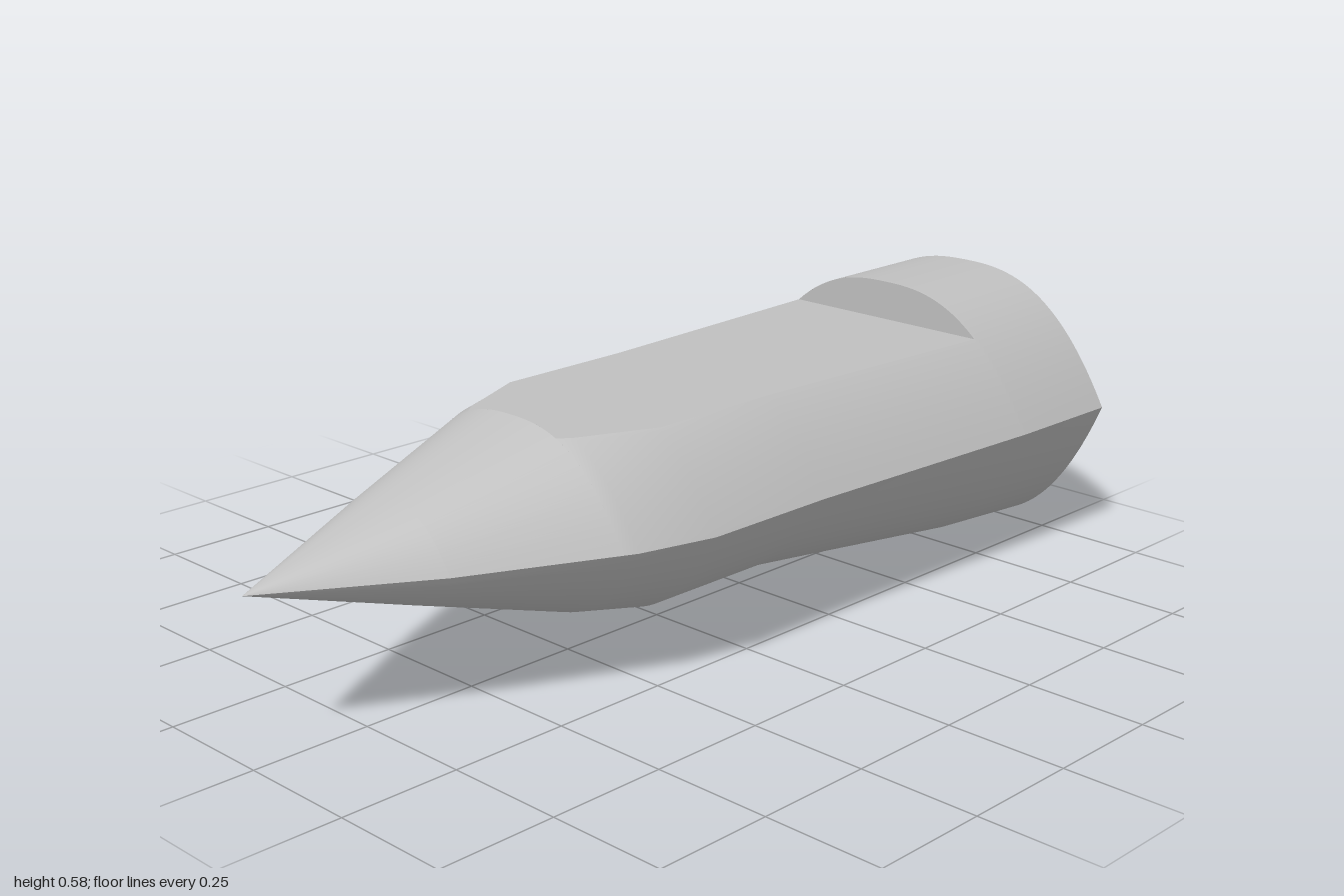
import * as THREE from 'three';

// Hull stations along x: [x, half width, top y, bottom y, chine y]
const STATIONS = [
  [-1, 0, 0.327, 0.327, 0.327],
  [-0.68, 0.166, 0.425, 0.231, 0.316],
  [-0.36, 0.311, 0.522, 0.135, 0.314],
  [-0.2, 0.352, 0.56, 0.102, 0.314],
  [0.1, 0.355, 0.56, 0.102, 0.314],
  [0.72, 0.386, 0.579, 0.022, 0.312],
  [1, 0.388, 0.58, 0, 0.311],
];
const DECK_Y = 0.495, DECK_START = -0.385, DECK_END = 0.71;

function station(x) {
  let i = 0;
  while (i < STATIONS.length - 2 && x > STATIONS[i + 1][0]) i++;
  const a = STATIONS[i], b = STATIONS[i + 1], k = (x - a[0]) / (b[0] - a[0]);
  const [w, top, bottom, chine] = [1, 2, 3, 4].map(n => a[n] + (b[n] - a[n]) * k);
  return { w, top, bottom, chine };
}

// Upper and lower section curves; t runs from -1 to 1 across the width
function upper(x, t) {
  const s = station(x);
  return [x, s.chine + (s.top - s.chine) * (1 - Math.abs(t) ** 2.6), s.w * t];
}
function lower(x, t) {
  const s = station(x);
  return [x, s.chine + (s.bottom - s.chine) * (1 - Math.abs(t) ** 3), s.w * t];
}
// Where the upper curve meets the deck level
function cutT(x) {
  const s = station(x);
  return (1 - (DECK_Y - s.chine) / (s.top - s.chine)) ** (1 / 2.6);
}

// Surface patch over two lists of parameters
function patch(us, vs, fn) {
  const pos = [], idx = [], n = vs.length;
  us.forEach(u => vs.forEach(v => pos.push(...fn(u, v))));
  for (let i = 0; i < us.length - 1; i++) {
    for (let j = 0; j < n - 1; j++) {
      const a = i * n + j, b = a + n;
      idx.push(a, b, b + 1, a, b + 1, a + 1);
    }
  }
  const g = new THREE.BufferGeometry();
  g.setAttribute('position', new THREE.Float32BufferAttribute(pos, 3));
  g.setIndex(idx);
  g.computeVertexNormals();
  return g;
}

const range = (a, b, n) => Array.from({ length: n + 1 }, (_, i) => a + (b - a) * i / n);
const lengthwise = (a, b) => [a, ...STATIONS.map(s => s[0]).filter(x => x > a + 1e-4 && x < b - 1e-4), b];

export function createModel() {
  const group = new THREE.Group();
  const grey = new THREE.MeshStandardMaterial({ color: 0xc0c0c0, side: THREE.DoubleSide });
  grey.name = 'hullGrey';
  const add = (name, geometry) => {
    const mesh = new THREE.Mesh(geometry, grey);
    mesh.name = name;
    group.add(mesh);
  };
  const across = range(1, -1, 48), acrossBack = range(-1, 1, 48);
  const mid = lengthwise(DECK_START, DECK_END);

  // Hull skin below and above the chine
  add('lowerHull', patch(lengthwise(-1, 1), acrossBack, lower));
  add('noseTop', patch(lengthwise(-1, DECK_START), across, upper));
  add('tailTop', patch(lengthwise(DECK_END, 1), across, upper));

  // Shoulders either side of the recessed deck
  add('leftShoulder', patch(mid, range(0, 1, 20), (x, v) => upper(x, 1 + (cutT(x) - 1) * v)));
  add('rightShoulder', patch(mid, range(0, 1, 20), (x, v) => upper(x, -cutT(x) + (cutT(x) - 1) * v)));

  // Flat deck and the upright steps at its two ends
  add('deck', patch(mid, [1, -1], (x, v) => [x, DECK_Y, station(x).w * cutT(x) * v]));
  const step = x => (u, v) => {
    const p = upper(x, cutT(x) * v);
    return [x, DECK_Y + (p[1] - DECK_Y) * u, p[2]];
  };
  add('frontStep', patch([0, 1], range(-1, 1, 32), step(DECK_START)));
  add('rearStep', patch([0, 1], range(1, -1, 32), step(DECK_END)));

  // Flat end of the hull
  add('endCap', patch([0, 1], acrossBack, (u, v) => (u ? upper : lower)(1, v)));
  return group;
}
